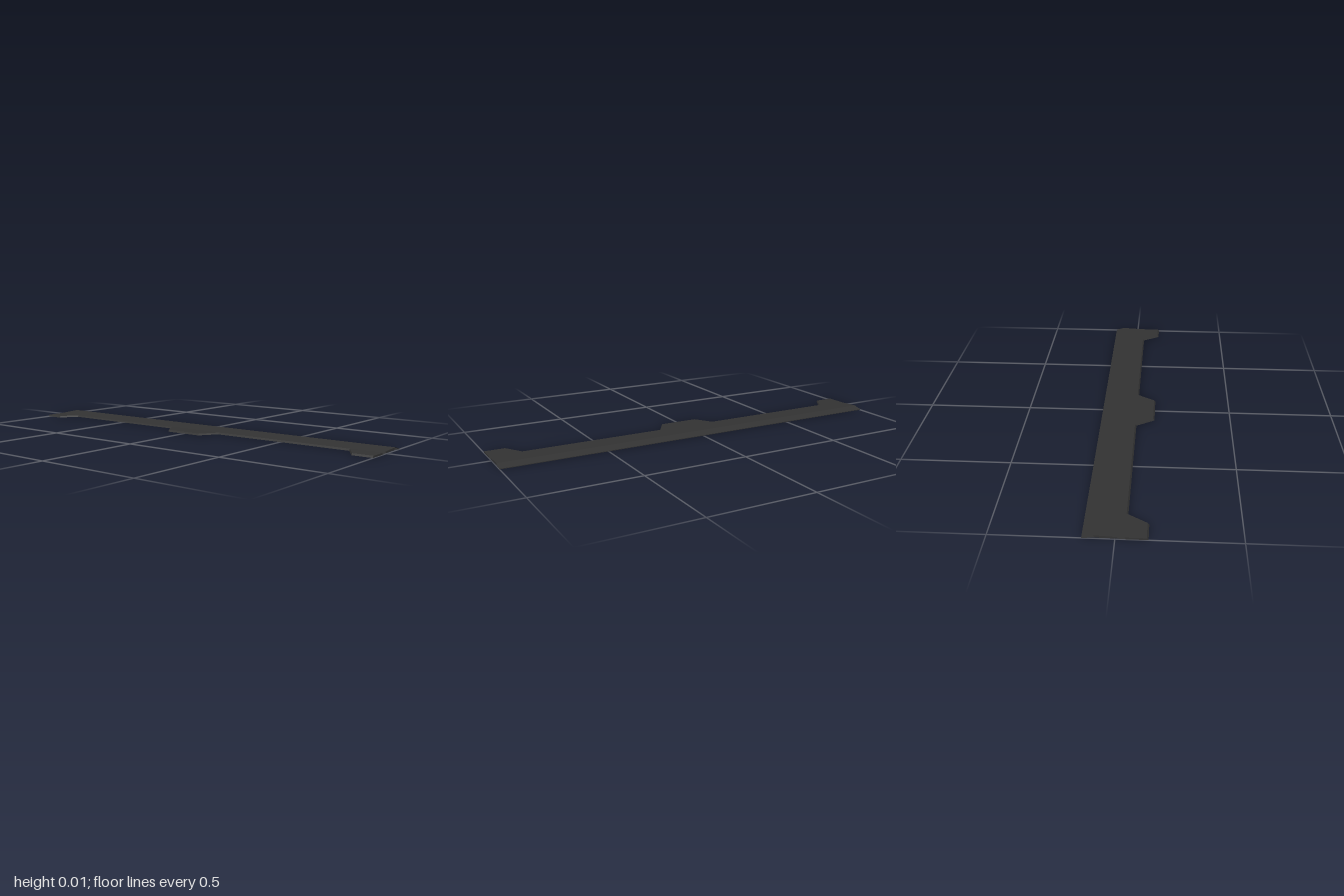
import * as THREE from 'three';

// Open-ended parts are seen from both sides
const charcoal = new THREE.MeshStandardMaterial({ color: 0x323232, side: THREE.DoubleSide });
charcoal.name = 'charcoal';

// Stations along the width: [x, z of the front edge], mirrored about the middle
const half = [[0.095, 0.123], [0.15, 0.037], [0.85, 0.037], [0.905, 0.123], [1, 0.123]];
const stations = [...half.map(([x, z]) => [-x, z]).reverse(), ...half];

// Closed profile as [z, y]: over the top from back to front, then back underneath
const profile = (front) => [
  [-0.13, 0.003], [-0.085, 0.015], [0.01, 0.01], [0.036, 0.009], [front, 0.009],
  [front + 0.007, 0.001], [0.043, 0.001], [0.006, 0.003], [-0.077, 0.004], [-0.13, 0],
];

function makeMesh(name, points, index) {
  const indexed = new THREE.BufferGeometry();
  indexed.setAttribute('position', new THREE.Float32BufferAttribute(points.flat(), 3));
  indexed.setIndex(index);
  const geometry = indexed.toNonIndexed();
  geometry.computeVertexNormals();
  const mesh = new THREE.Mesh(geometry, charcoal);
  mesh.name = name;
  return mesh;
}

// Long blade with a middle tab and two end tabs, lofted across the stations
function makeBlade() {
  const points = stations.flatMap(([x, front]) => profile(front).map(([z, y]) => [x, y, z]));
  const count = profile(0).length;
  const index = [];
  for (let i = 0; i < stations.length - 1; i++) {
    for (let k = 0; k < count; k++) {
      const next = (k + 1) % count;
      const a = i * count + k, b = i * count + next;
      const c = b + count, d = a + count;
      index.push(a, b, c, a, c, d);
    }
  }
  return makeMesh('blade', points, index);
}

// End cap: one plate closes the raised rear section, one closes the tab
function makeEndCap(side) {
  const points = profile(0.123).map(([z, y]) => [side, y, z]);
  const index = [];
  for (const [a, b, c, d] of [[1, 2, 7, 8], [3, 4, 5, 6]]) {
    index.push(...(side > 0 ? [a, b, c, a, c, d] : [a, c, b, a, d, c]));
  }
  return makeMesh(side > 0 ? 'leftEndCap' : 'rightEndCap', points, index);
}

export function createModel() {
  const model = new THREE.Group();
  model.name = 'trimBlade';
  model.add(makeBlade(), makeEndCap(1), makeEndCap(-1));
  return model;
}
